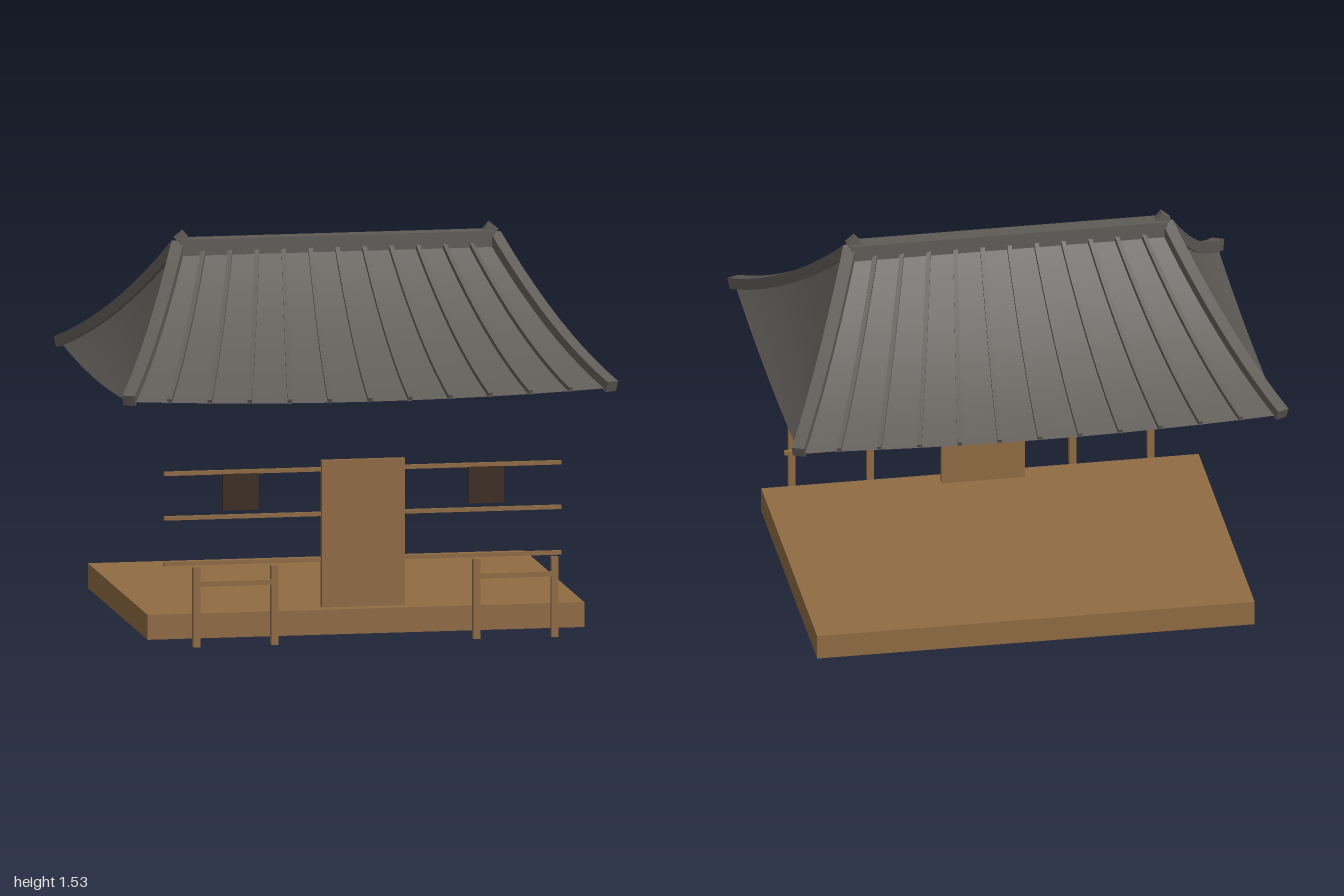
import * as THREE from 'three';

const RIDGE_Z = -0.055, RIDGE_X = 0.635, EAVE_X = 0.97, HALF_DEPTH = 0.745;

// Height of the sagging roof: t runs ridge to eave, u runs corner to corner
function roofHeight(u, t) {
  return 1.465 - 0.52 * t - 0.2 * t * (1 - t) + 0.027 * u * u * t;
}

// Point on a long slope (dir +1 front, -1 back)
function slopePoint(u, t, dir) {
  const x = u * THREE.MathUtils.lerp(RIDGE_X, EAVE_X, t);
  return new THREE.Vector3(x, roofHeight(u, t), RIDGE_Z + dir * HALF_DEPTH * t);
}

// Point on a triangular end (dir +1 left, -1 right)
function endPoint(u, t, dir) {
  const x = dir * THREE.MathUtils.lerp(RIDGE_X, EAVE_X, t);
  return new THREE.Vector3(x, roofHeight(u, t), RIDGE_Z + u * HALF_DEPTH * t);
}

// Curved sheet made by moving the vertices of a plane; flip keeps it facing up
function sheet(pointAt, flip) {
  const geo = new THREE.PlaneGeometry(2, 1, 12, 10);
  const pos = geo.attributes.position;
  for (let i = 0; i < pos.count; i++) {
    const p = pointAt(pos.getX(i) * (flip ? -1 : 1), 0.5 - pos.getY(i));
    pos.setXYZ(i, p.x, p.y, p.z);
  }
  geo.computeVertexNormals();
  return geo;
}

// Square-edged bar swept along a list of points
function bar(points, width, height) {
  const rings = points.map((p, i) => {
    const a = points[Math.max(i - 1, 0)], b = points[Math.min(i + 1, points.length - 1)];
    const along = b.clone().sub(a).normalize();
    const side = new THREE.Vector3(along.z, 0, -along.x).normalize();
    const up = along.clone().cross(side);
    return [[-1, -1], [1, -1], [1, 1], [-1, 1]].map(([s, h]) =>
      p.clone().addScaledVector(side, s * width / 2).addScaledVector(up, h * height / 2));
  });
  const verts = [];
  const quad = (a, b, c, d) => [a, b, c, a, c, d].forEach(v => verts.push(v.x, v.y, v.z));
  for (let i = 0; i < rings.length - 1; i++) {
    for (let k = 0; k < 4; k++) {
      const n = (k + 1) % 4;
      quad(rings[i][k], rings[i][n], rings[i + 1][n], rings[i + 1][k]);
    }
  }
  const [s, e] = [rings[0], rings[rings.length - 1]];
  quad(s[3], s[2], s[1], s[0]);
  quad(e[0], e[1], e[2], e[3]);
  const geo = new THREE.BufferGeometry();
  geo.setAttribute('position', new THREE.Float32BufferAttribute(verts, 3));
  geo.computeVertexNormals();
  return geo;
}

export function createModel() {
  const model = new THREE.Group();
  model.name = 'pavilion';
  const wood = new THREE.MeshStandardMaterial({ color: 0x8f6b43 });
  wood.name = 'wood';
  const dark = new THREE.MeshStandardMaterial({ color: 0x3b2a20 });
  dark.name = 'darkWood';
  const tile = new THREE.MeshStandardMaterial({ color: 0x5f5b57, side: THREE.DoubleSide });
  tile.name = 'roofTile';

  function add(name, geo, mat, x = 0, y = 0, z = 0) {
    const mesh = new THREE.Mesh(geo, mat);
    mesh.name = name;
    mesh.position.set(x, y, z);
    model.add(mesh);
    return mesh;
  }
  const box = (name, mat, w, h, d, x, y, z) =>
    add(name, new THREE.BoxGeometry(w, h, d), mat, x, y, z);

  // Floor, door and long wall rails
  box('floor', wood, 1.76, 0.1, 1.305, 0, 0.05, -0.053);
  box('door', wood, 0.335, 0.59, 0.025, 0, 0.395, 0.532);
  for (const y of [0.29, 0.473, 0.652]) box('wallRail', wood, 1.6, 0.016, 0.016, 0, y, 0.523);

  for (const s of [-1, 1]) {
    // Windows
    box('window', dark, 0.143, 0.145, 0.023, s * 0.495, 0.573, 0.532);
    // Front fences
    for (const x of [0.407, 0.722]) box('fencePost', wood, 0.028, 0.32, 0.028, s * x, 0.16, 0.805);
    box('fenceRail', wood, 0.3, 0.02, 0.018, s * 0.565, 0.252, 0.805);
  }

  // Roof sheets, tile ribs and hip ribs
  const steps = Array.from({ length: 11 }, (_, i) => i / 10);
  for (const dir of [-1, 1]) {
    add('roofSlope', sheet((u, t) => slopePoint(u, t, dir), dir < 0), tile);
    add('roofEnd', sheet((u, t) => endPoint(u, t, dir), dir > 0), tile);
    for (let i = -5; i <= 5; i++) {
      const path = steps.map(t => slopePoint(i / 6, 0.02 + 0.98 * t, dir));
      path.forEach(p => { p.y += 0.006; });
      add('tileRib', bar(path, 0.018, 0.02), tile);
    }
    for (const side of [-1, 1]) {
      const path = steps.map(t => slopePoint(side, t * 1.01, dir));
      path.forEach(p => { p.y += 0.009; });
      add('hipRib', bar(path, 0.05, 0.045), tile);
    }
  }

  // Ridge beam with tilted end caps
  box('ridge', tile, 1.27, 0.065, 0.068, 0, 1.467, RIDGE_Z);
  for (const s of [-1, 1]) {
    const cap = box('ridgeCap', tile, 0.045, 0.04, 0.036, s * 0.622, 1.503, RIDGE_Z);
    cap.rotation.z = -s * 0.7;
  }
  return model;
}
